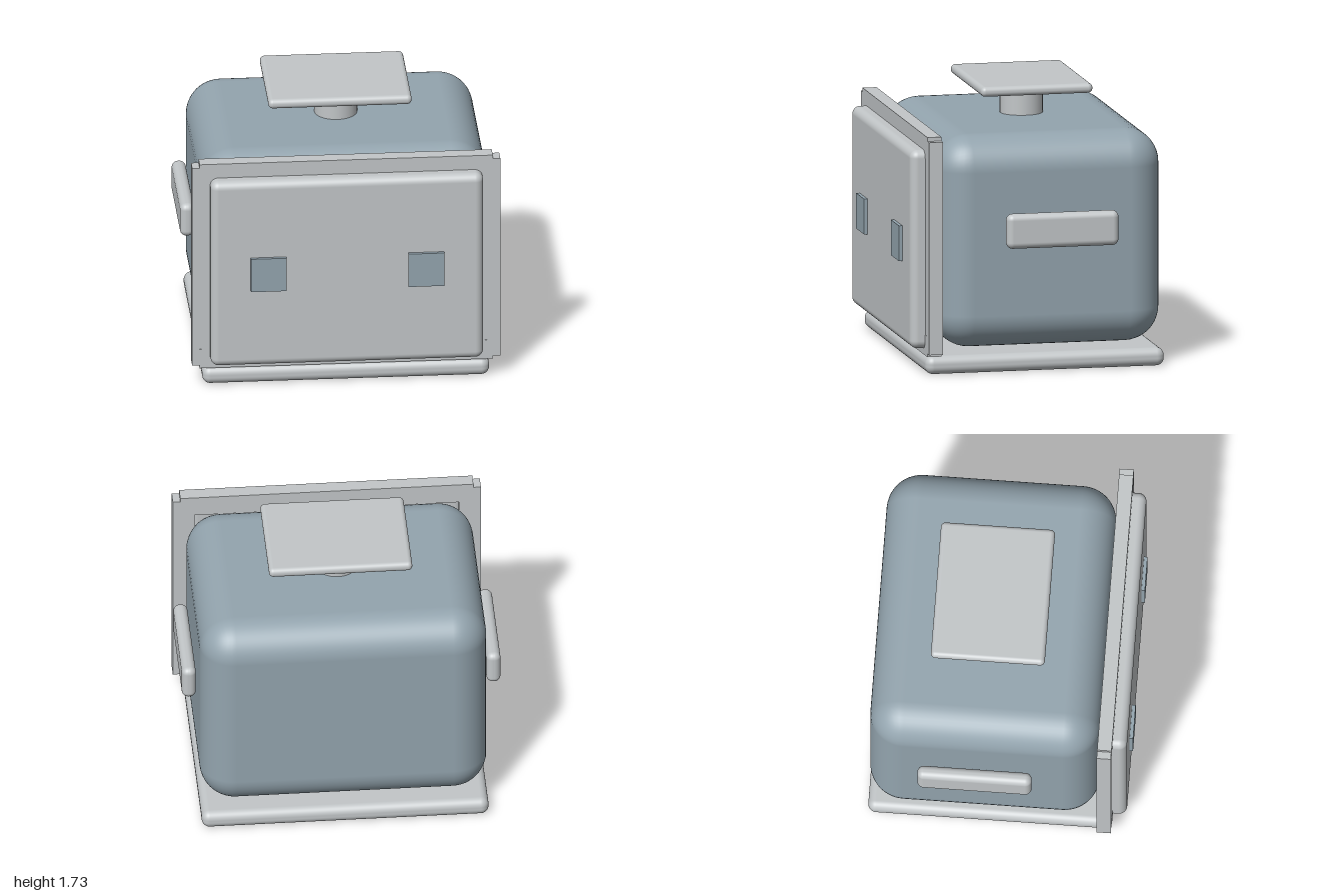
import * as THREE from 'three';
import { RoundedBoxGeometry } from 'three/addons/geometries/RoundedBoxGeometry.js';

export function createModel() {
  const model = new THREE.Group();
  model.name = 'boxRobotHead';

  const lightGrey = new THREE.MeshStandardMaterial({ color: 0xc2c6c8 });
  lightGrey.name = 'lightGrey';
  const blueGrey = new THREE.MeshStandardMaterial({ color: 0x93a4ae });
  blueGrey.name = 'blueGrey';

  // Adds a box given its min and max corners; a radius rounds its edges
  function addBox(name, material, [x0, y0, z0], [x1, y1, z1], radius = 0) {
    const w = x1 - x0, h = y1 - y0, d = z1 - z0;
    const geometry = radius
      ? new RoundedBoxGeometry(w, h, d, 6, radius)
      : new THREE.BoxGeometry(w, h, d);
    const mesh = new THREE.Mesh(geometry, material);
    mesh.name = name;
    mesh.position.set((x0 + x1) / 2, (y0 + y1) / 2, (z0 + z1) / 2);
    model.add(mesh);
    return mesh;
  }

  // Base slab and main body
  addBox('base', lightGrey, [-0.9, 0, -0.82], [0.9, 0.115, 0.71], 0.05);
  addBox('body', blueGrey, [-0.9, 0.14, -0.82], [0.9, 1.49, 0.62], 0.22);

  // Front frame: two rails and two posts that leave notched corners
  addBox('frameTop', lightGrey, [-0.92, 1.38, 0.62], [0.92, 1.515, 0.71]);
  addBox('frameBottom', lightGrey, [-0.92, 0.12, 0.62], [0.92, 0.25, 0.71]);

  // Face panel held by the frame
  addBox('facePanel', lightGrey, [-0.855, 0.16, 0.66], [0.855, 1.42, 0.8], 0.05);

  for (const side of [-1, 1]) {
    const label = side > 0 ? 'left' : 'right';
    const posts = addBox(label + 'FramePost', lightGrey, [0.83, 0.14, 0.62], [0.967, 1.49, 0.709]);
    const eye = addBox(label + 'Eye', blueGrey, [0.383, 0.68, 0.79], [0.607, 0.905, 0.822]);
    const handle = addBox(label + 'Handle', lightGrey, [0.912, 0.795, -0.505], [1, 1.015, 0.212], 0.04);
    for (const part of [posts, eye, handle]) part.position.x *= side;
  }

  // Neck and plate on the roof
  const neck = new THREE.Mesh(new THREE.CylinderGeometry(0.135, 0.135, 0.24, 32), lightGrey);
  neck.name = 'neck';
  neck.position.set(0, 1.57, -0.1);
  model.add(neck);
  addBox('topPlate', lightGrey, [-0.45, 1.67, -0.46], [0.45, 1.732, 0.255], 0.029);

  return model;
}
